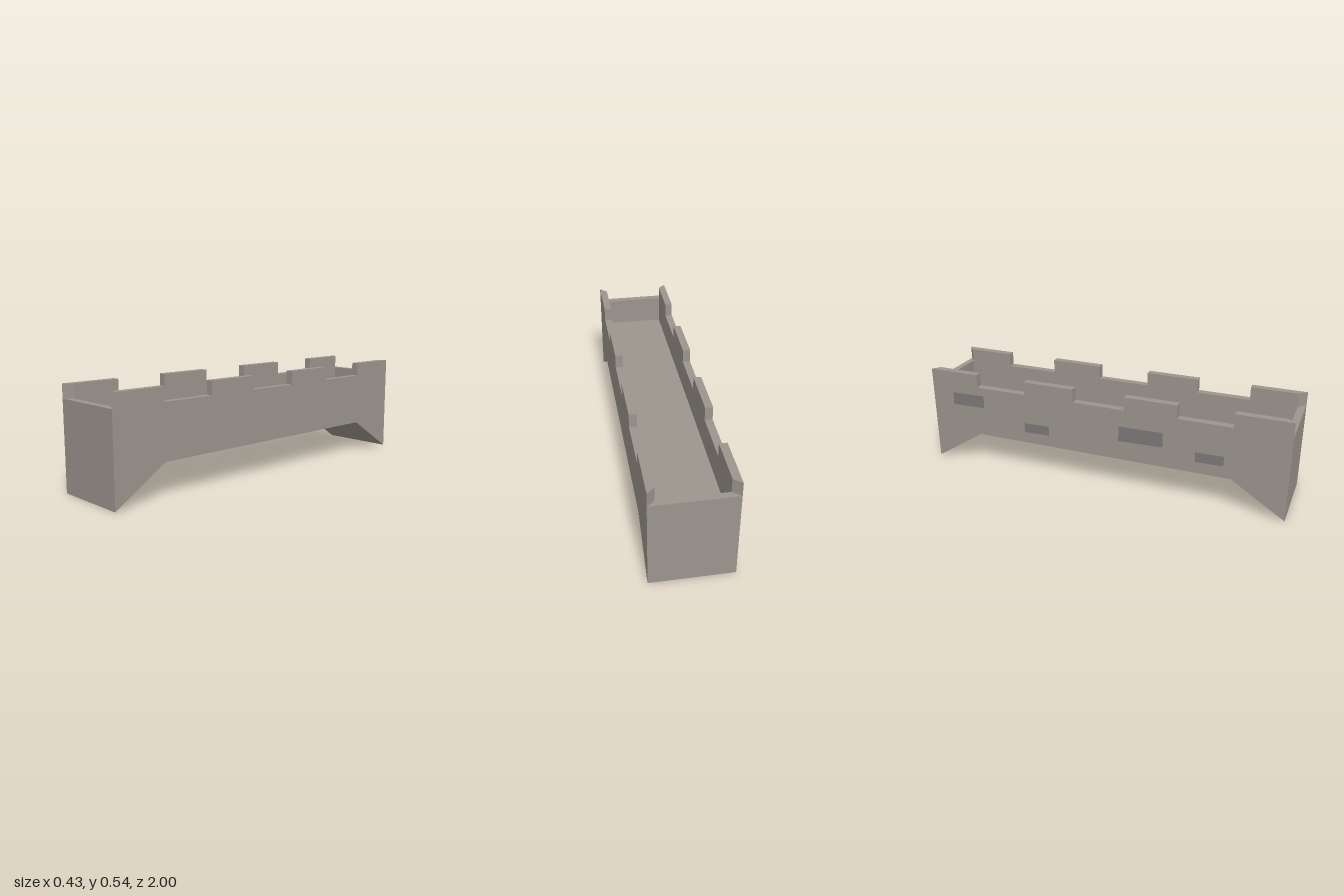
import * as THREE from 'three';

// Outer and inner faces of the parapet
const X0 = -0.201, X1 = 0.2125, Z0 = -1, Z1 = 1;
const IX0 = -0.161, IX1 = 0.173, IZ0 = -0.966, IZ1 = 0.961;
const FLOOR = 0.31, RIM = 0.463, TOP = 0.535;

// Plan outline given as [x, z] corners
function outline(points) {
  return points.map(([x, z]) => new THREE.Vector2(x, -z));
}

// Upright prism from a plan outline between two heights
function prism(shape, y0, y1) {
  const g = new THREE.ExtrudeGeometry(shape, { depth: y1 - y0, bevelEnabled: false });
  g.rotateX(-Math.PI / 2);
  g.translate(0, y0, 0);
  return g;
}

export function createModel() {
  const group = new THREE.Group();
  const stone = new THREE.MeshStandardMaterial({ name: 'stone', color: 0x9c958e });
  const darkStone = new THREE.MeshStandardMaterial({ name: 'darkStone', color: 0x7a7978 });

  function add(name, geometry, material) {
    const mesh = new THREE.Mesh(geometry, material);
    mesh.name = name;
    group.add(mesh);
  }

  // Deck with sloping supports at both ends
  const side = new THREE.Shape([
    [Z0, 0], [-0.715, 0.181], [0.715, 0.181], [Z1, 0], [Z1, FLOOR], [Z0, FLOOR],
  ].map(([z, y]) => new THREE.Vector2(z, y)));
  const deck = new THREE.ExtrudeGeometry(side, { depth: X1 - X0, bevelEnabled: false });
  deck.rotateY(-Math.PI / 2);
  deck.translate(X1, 0, 0);
  add('deck', deck, stone);

  // Low wall around the deck
  const ring = new THREE.Shape(outline([[X0, Z1], [X1, Z1], [X1, Z0], [X0, Z0]]));
  ring.holes.push(new THREE.Path(outline([[IX0, IZ1], [IX0, IZ0], [IX1, IZ0], [IX1, IZ1]])));
  add('parapet', prism(ring, FLOOR, RIM), stone);

  // Merlons on both long sides: [outer start, outer end, inner start, inner end] along z,
  // with mitred corners at the ends
  const merlons = [
    [Z0, -0.714, IZ0, -0.714],
    [-0.425, -0.142, -0.425, -0.142],
    [0.142, 0.427, 0.142, 0.427],
    [0.713, Z1, 0.713, IZ1],
  ];
  for (const [outer, inner, label] of [[X0, IX0, 'right'], [X1, IX1, 'left']]) {
    merlons.forEach(([a, b, c, d], i) => {
      const plan = new THREE.Shape(outline([[outer, a], [outer, b], [inner, d], [inner, c]]));
      add(`${label}Merlon${i + 1}`, prism(plan, RIM, TOP), stone);
    });
  }

  // Bricks tilting out of one wall: z range, y range, how far they stand out
  const bricks = [
    [-0.867, -0.68, 0.346, 0.415, 0.01],
    [-0.428, -0.285, 0.246, 0.299, 0.008],
    [0.12, 0.355, 0.292, 0.373, 0.013],
    [0.53, 0.675, 0.246, 0.299, 0.008],
  ];
  bricks.forEach(([z0, z1, y0, y1, out], i) => {
    const plan = new THREE.Shape(outline([
      [X0 + 0.01, z0], [X0 - out, z0], [X0 - 0.001, z1], [X0 + 0.01, z1],
    ]));
    add(`brick${i + 1}`, prism(plan, y0, y1), darkStone);
  });

  return group;
}
